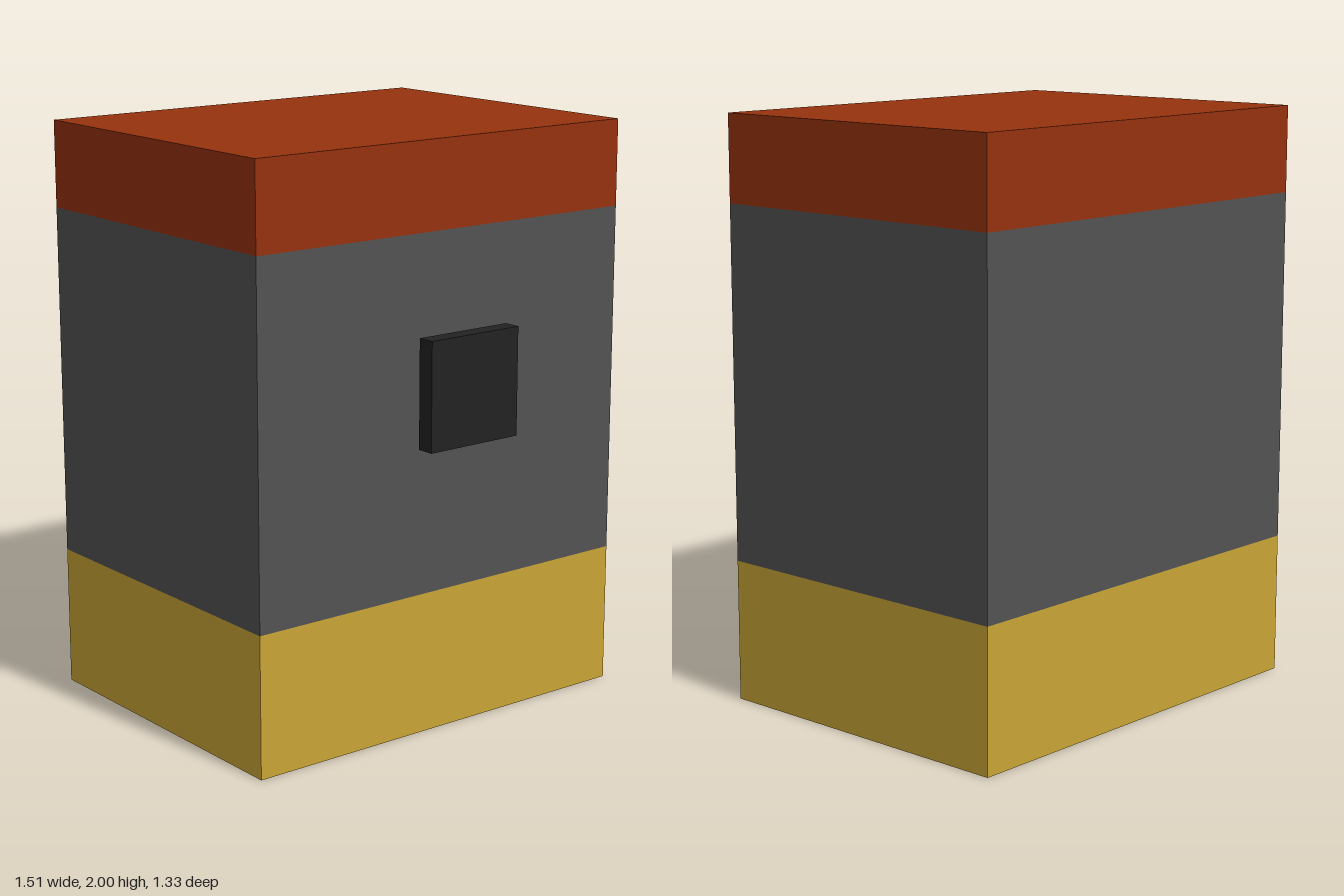
import * as THREE from 'three';

const paint = (name, color) => {
  const material = new THREE.MeshStandardMaterial({ color });
  material.name = name;
  return material;
};

export function createModel() {
  const red = paint('brick red', 0x96320e);
  const grey = paint('dark grey', 0x525252);
  const yellow = paint('mustard yellow', 0xc8a435);
  const black = paint('soft black', 0x222222);

  const model = new THREE.Group();
  model.name = 'bandedCabinet';

  // Box given by its ranges along x, y and z
  const addBox = (name, material, [x0, x1], [y0, y1], [z0, z1], parent = model) => {
    const mesh = new THREE.Mesh(new THREE.BoxGeometry(x1 - x0, y1 - y0, z1 - z0), material);
    mesh.position.set((x0 + x1) / 2, (y0 + y1) / 2, (z0 + z1) / 2);
    mesh.name = name;
    parent.add(mesh);
  };

  // Body: three flush coloured bands
  const width = [-0.757, 0.757];
  const depth = [-0.667, 0.483];
  addBox('bottomBand', yellow, width, [0, 0.488], depth);
  addBox('middleBand', grey, width, [0.488, 1.703], depth);
  addBox('topBand', red, width, [1.703, 2], depth);

  // Knob: square stem and plate, slightly off centre
  const knob = new THREE.Group();
  knob.name = 'knob';
  model.add(knob);
  addBox('knobStem', black, [-0.091, 0.03], [1.153, 1.274], [0.483, 0.606], knob);
  addBox('knobPlate', black, [-0.212, 0.151], [1.031, 1.396], [0.606, 0.667], knob);

  return model;
}
